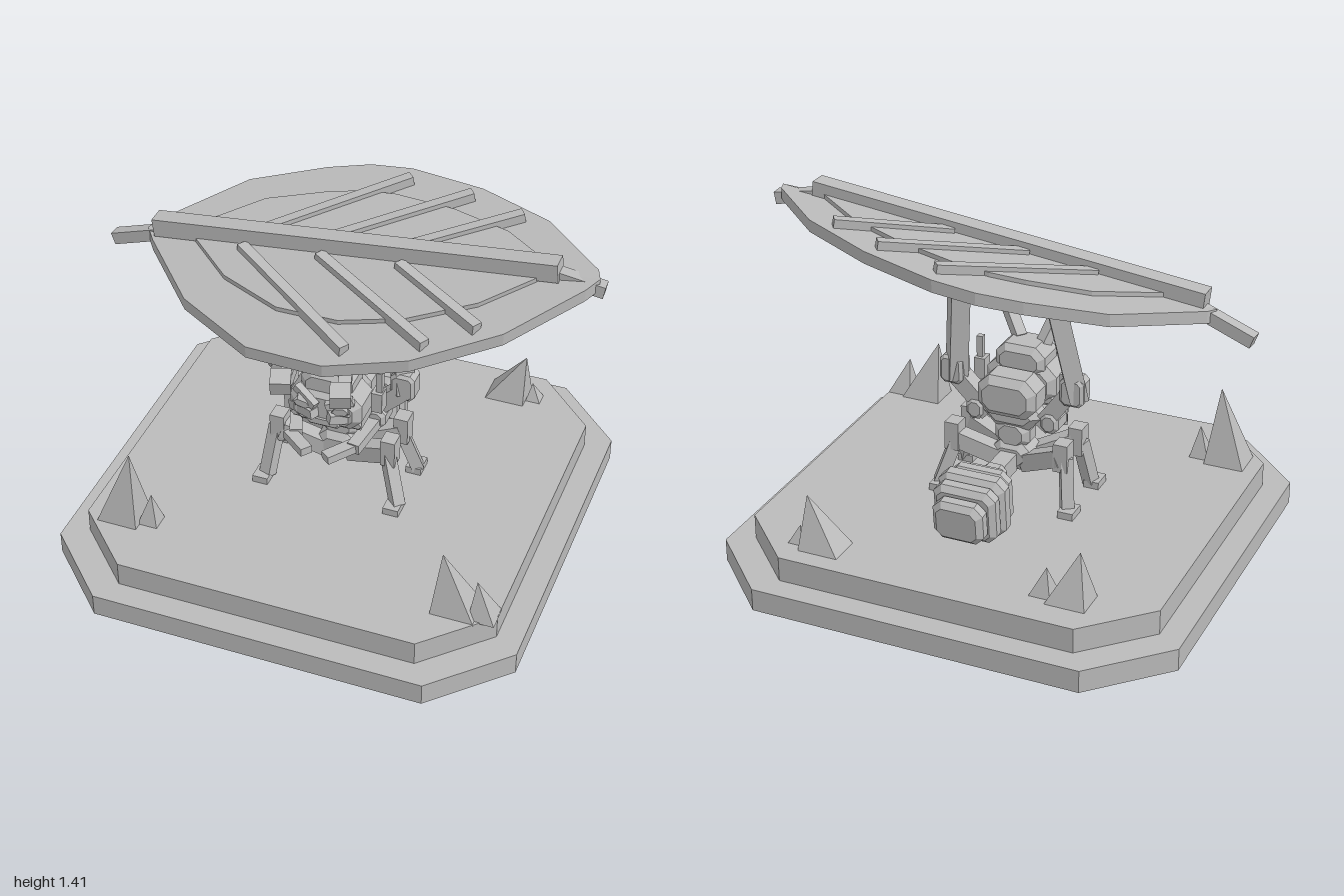
import * as THREE from 'three';

const stone = new THREE.MeshStandardMaterial({ color: 0xbababa });
stone.name = 'plain grey';

const V = (x, y, z) => new THREE.Vector3(x, y, z);
const CX = -0.012; // body centre line

function part(name, geometry, parent) {
  const m = new THREE.Mesh(geometry, stone);
  m.name = name;
  parent.add(m);
  return m;
}

function polygon(points) {
  return new THREE.Shape(points.map(([x, y]) => new THREE.Vector2(x, y)));
}

// Rectangle with cut corners
function octagon(w, h, c) {
  const a = w / 2, b = h / 2;
  return polygon([[-a + c, -b], [a - c, -b], [a, -b + c], [a, b - c], [a - c, b], [-a + c, b], [-a, b - c], [-a, -b + c]]);
}

// Box with every edge chamfered
function chamferBox(name, parent, [w, h, d], [x, y, z], c = 0.02) {
  const g = new THREE.ExtrudeGeometry(octagon(w - 2 * c, h - 2 * c, c), {
    depth: d - 2 * c, bevelEnabled: true, bevelThickness: c, bevelSize: c, bevelSegments: 1
  });
  g.translate(0, 0, c - d / 2);
  const m = part(name, g, parent);
  m.position.set(x, y, z);
  return m;
}

function box(name, parent, [w, h, d], [x, y, z]) {
  const m = part(name, new THREE.BoxGeometry(w, h, d), parent);
  m.position.set(x, y, z);
  return m;
}

// Square bar between two points
function bar(name, parent, a, b, w, h = w) {
  const m = part(name, new THREE.BoxGeometry(w, h, a.distanceTo(b)), parent);
  m.position.copy(a).lerp(b, 0.5);
  m.lookAt(b);
  return m;
}

// Low four-sided crystal with an off-centre peak
function crystal(parent, [x0, x1, z0, z1], [px, py, pz]) {
  const y = 0.19;
  const c = [[x0, y, z1], [x1, y, z1], [x1, y, z0], [x0, y, z0]];
  const pos = [];
  c.forEach((p, i) => pos.push(...p, ...c[(i + 1) % 4], px, py, pz));
  const g = new THREE.BufferGeometry();
  g.setAttribute('position', new THREE.Float32BufferAttribute(pos, 3));
  g.computeVertexNormals();
  part('crystal', g, parent);
}

// Height of the folded, leaning leaf
const RIDGE = -0.03;
const leafY = (x, z) => 1.255 + 0.113 * x + (z > RIDGE ? -0.425 : -0.12) * (z - RIDGE);

function leafSlab(name, parent, outline, thick, lift) {
  const g = new THREE.ExtrudeGeometry(polygon(outline.map(([x, z]) => [x, -z])), { depth: thick, bevelEnabled: false });
  g.rotateX(-Math.PI / 2);
  const p = g.attributes.position;
  for (let i = 0; i < p.count; i++) p.setY(i, p.getY(i) + lift + leafY(p.getX(i), p.getZ(i)));
  g.computeVertexNormals();
  part(name, g, parent);
}

function makeLeaf() {
  const leaf = new THREE.Group();
  leaf.name = 'leaf';
  const back = [[0.98, RIDGE], [0.96, -0.08], [0.70, -0.325], [0.39, -0.475], [0.075, -0.555], [-0.1, -0.555], [-0.27, -0.51], [-0.555, -0.385], [-0.82, -0.08], [-0.84, RIDGE]];
  const front = [[-0.84, RIDGE], [-0.8, 0.02], [-0.565, 0.25], [-0.245, 0.41], [0.075, 0.445], [0.39, 0.38], [0.70, 0.23], [0.94, 0.02], [0.98, RIDGE]];
  // Inner raised layer is a narrower copy of the outline
  const inner = pts => pts.map(([x, z]) => [0.06 + (x - 0.06) * 0.8, RIDGE + (z - RIDGE) * 0.64]);
  for (const half of [back, front]) {
    leafSlab('leaf blade', leaf, half, 0.05, -0.05);
    leafSlab('inner leaf layer', leaf, inner(half), 0.018, 0);
  }
  // Central rib above and carrying beam below
  const at = (x, z, dy) => V(x, leafY(x, z) + dy, z);
  bar('midrib', leaf, at(-0.8, -0.027, 0.027), at(0.83, -0.027, 0.027), 0.075, 0.075);
  bar('carrying beam', leaf, at(-0.72, RIDGE, -0.055), at(0.6, RIDGE, -0.055), 0.06, 0.06);
  bar('leaf tip', leaf, at(0.78, RIDGE, 0.01), V(1, 1.315, -0.042), 0.05);
  bar('stem', leaf, V(-0.995, 1.07, -0.05), V(-0.76, 1.155, -0.035), 0.05);
  // Side veins
  const veins = [
    [-0.37, -0.06, 0.10, -0.47], [-0.09, -0.06, 0.37, -0.41], [0.22, -0.06, 0.60, -0.32],
    [-0.42, 0.02, 0.14, 0.385], [-0.10, 0.02, 0.43, 0.325], [0.22, 0.02, 0.60, 0.235]
  ];
  for (const [x0, z0, x1, z1] of veins) bar('vein', leaf, at(x0, z0, 0.015), at(x1, z1, 0.015), 0.042, 0.042);
  return leaf;
}

function makeAnt() {
  const ant = new THREE.Group();
  ant.name = 'ant';
  ant.position.x = CX;

  // Abdomen of overlapping chamfered rings
  const abdomen = new THREE.Group();
  abdomen.name = 'abdomen';
  abdomen.position.set(0, 0.335, -0.405);
  abdomen.rotation.x = -0.1;
  ant.add(abdomen);
  const rings = [[0.20, 0.18, 0.07, 0.125], [0.25, 0.225, 0.075, 0.085], [0.28, 0.25, 0.085, 0.02], [0.26, 0.23, 0.08, -0.05], [0.21, 0.17, 0.08, -0.115]];
  for (const [w, h, d, z] of rings) chamferBox('abdomen ring', abdomen, [w, h, d], [0, 0, z], 0.022);

  // Waist and lower thorax
  chamferBox('waist joint', ant, [0.10, 0.10, 0.07], [0, 0.355, -0.21], 0.015);
  box('waist', ant, [0.07, 0.075, 0.14], [0, 0.355, -0.13]);
  chamferBox('lower thorax', ant, [0.17, 0.12, 0.15], [0, 0.37, 0.01], 0.025);
  chamferBox('belly', ant, [0.11, 0.07, 0.08], [0, 0.33, 0.01], 0.02);
  chamferBox('middle thorax', ant, [0.15, 0.13, 0.11], [0, 0.46, 0.005], 0.025);
  chamferBox('chest', ant, [0.24, 0.12, 0.12], [0, 0.55, 0], 0.03);
  chamferBox('upper back', ant, [0.25, 0.17, 0.15], [0, 0.645, -0.035], 0.03);

  // Head
  chamferBox('head', ant, [0.30, 0.17, 0.18], [0, 0.655, 0.125], 0.03);
  chamferBox('crown', ant, [0.21, 0.13, 0.17], [0, 0.75, 0.11], 0.025);
  chamferBox('chin', ant, [0.33, 0.055, 0.13], [0, 0.59, 0.12], 0.015);
  chamferBox('mouth', ant, [0.15, 0.05, 0.05], [0, 0.60, 0.195], 0.012);

  for (const s of [-1, 1]) {
    // Face plates and brow
    const eye = chamferBox('eye', ant, [0.11, 0.065, 0.06], [s * 0.08, 0.685, 0.21], 0.018);
    eye.rotation.z = s * 0.2;
    bar('brow', ant, V(s * 0.02, 0.69, 0.23), V(s * 0.12, 0.73, 0.2), 0.03);
    bar('jaw', ant, V(s * 0.14, 0.63, 0.17), V(s * 0.03, 0.65, 0.24), 0.04);
    // Antennae
    bar('antenna base', ant, V(s * 0.05, 0.80, 0.14), V(s * 0.105, 0.90, 0.2), 0.045);
    chamferBox('antenna joint', ant, [0.05, 0.06, 0.05], [s * 0.105, 0.9, 0.2], 0.01);
    bar('antenna', ant, V(s * 0.105, 0.90, 0.2), V(s * 0.12, 0.855, 0.33), 0.05);
    bar('antenna tip', ant, V(s * 0.12, 0.868, 0.305), V(s * 0.122, 0.845, 0.375), 0.08, 0.07);
    // Cheek peg
    box('cheek peg', ant, [0.045, 0.09, 0.055], [s * 0.185, 0.67, 0.09]);
    box('cheek pin', ant, [0.025, 0.11, 0.025], [s * 0.19, 0.75, 0.09]);
    // Raised arms holding the leaf
    bar('upper arm', ant, V(s * 0.11, 0.52, 0), V(s * 0.25, 0.68, 0), 0.07);
    chamferBox('elbow', ant, [0.10, 0.12, 0.09], [s * 0.258, 0.70, -0.01], 0.012);
    bar('raised forearm', ant, V(s * 0.262, 0.66, -0.01), V(s * 0.195, 1.13, -0.065), 0.075);
    chamferBox('wrist', ant, [0.12, 0.10, 0.12], [s * 0.195, 1.10, -0.065], 0.02);
    box('hand', ant, [0.085, 0.12, 0.09], [s * 0.195, 1.18, -0.045]);
    // Folded front arms
    chamferBox('middle shoulder', ant, [0.08, 0.09, 0.11], [s * 0.16, 0.54, 0.01], 0.015);
    bar('folded arm', ant, V(s * 0.17, 0.525, 0.04), V(s * 0.12, 0.515, 0.23), 0.05, 0.045);
    bar('claw', ant, V(s * 0.135, 0.515, 0.22), V(s * 0.04, 0.51, 0.31), 0.05, 0.035);
    // Walking legs
    for (const f of [-1, 1]) {
      const z = 0.012 + f * 0.077, fz = 0.028 + f * 0.125;
      bar('thigh', ant, V(s * 0.05, 0.35, 0.012 + f * 0.04), V(s * 0.225, 0.42, z), 0.07);
      box('knee', ant, [0.06, 0.12, 0.07], [s * 0.235, 0.43, z]);
      bar('shin', ant, V(s * 0.235, 0.42, z), V(s * 0.28, 0.21, fz), 0.05);
      box('foot', ant, [0.065, 0.03, 0.085], [s * 0.28, 0.21, fz + f * 0.012]);
    }
  }
  return ant;
}

export function createModel() {
  const model = new THREE.Group();
  model.name = 'ant carrying a leaf';

  // Two-step base with cut corners
  for (const [name, size, cut, y, h] of [['lower base', 1.91, 0.28, 0, 0.093], ['upper base', 1.71, 0.245, 0.093, 0.102]]) {
    const g = new THREE.ExtrudeGeometry(octagon(size, size, cut), { depth: h, bevelEnabled: false });
    g.rotateX(-Math.PI / 2);
    part(name, g, model).position.set(CX, y, -0.005);
  }

  // Crystals near the corners
  const crystals = new THREE.Group();
  crystals.name = 'crystals';
  model.add(crystals);
  crystal(crystals, [-0.81, -0.64, 0.50, 0.645], [-0.68, 0.515, 0.58]);
  crystal(crystals, [-0.65, -0.565, 0.53, 0.61], [-0.60, 0.33, 0.57]);
  crystal(crystals, [0.595, 0.77, 0.54, 0.68], [0.622, 0.45, 0.615]);
  crystal(crystals, [0.74, 0.845, 0.555, 0.66], [0.76, 0.35, 0.61]);
  crystal(crystals, [-0.62, -0.455, -0.75, -0.615], [-0.57, 0.40, -0.67]);
  crystal(crystals, [-0.47, -0.38, -0.72, -0.63], [-0.44, 0.31, -0.68]);
  crystal(crystals, [0.385, 0.555, -0.785, -0.645], [0.545, 0.405, -0.71]);
  crystal(crystals, [0.555, 0.62, -0.75, -0.685], [0.575, 0.27, -0.72]);

  model.add(makeAnt(), makeLeaf());
  return model;
}
